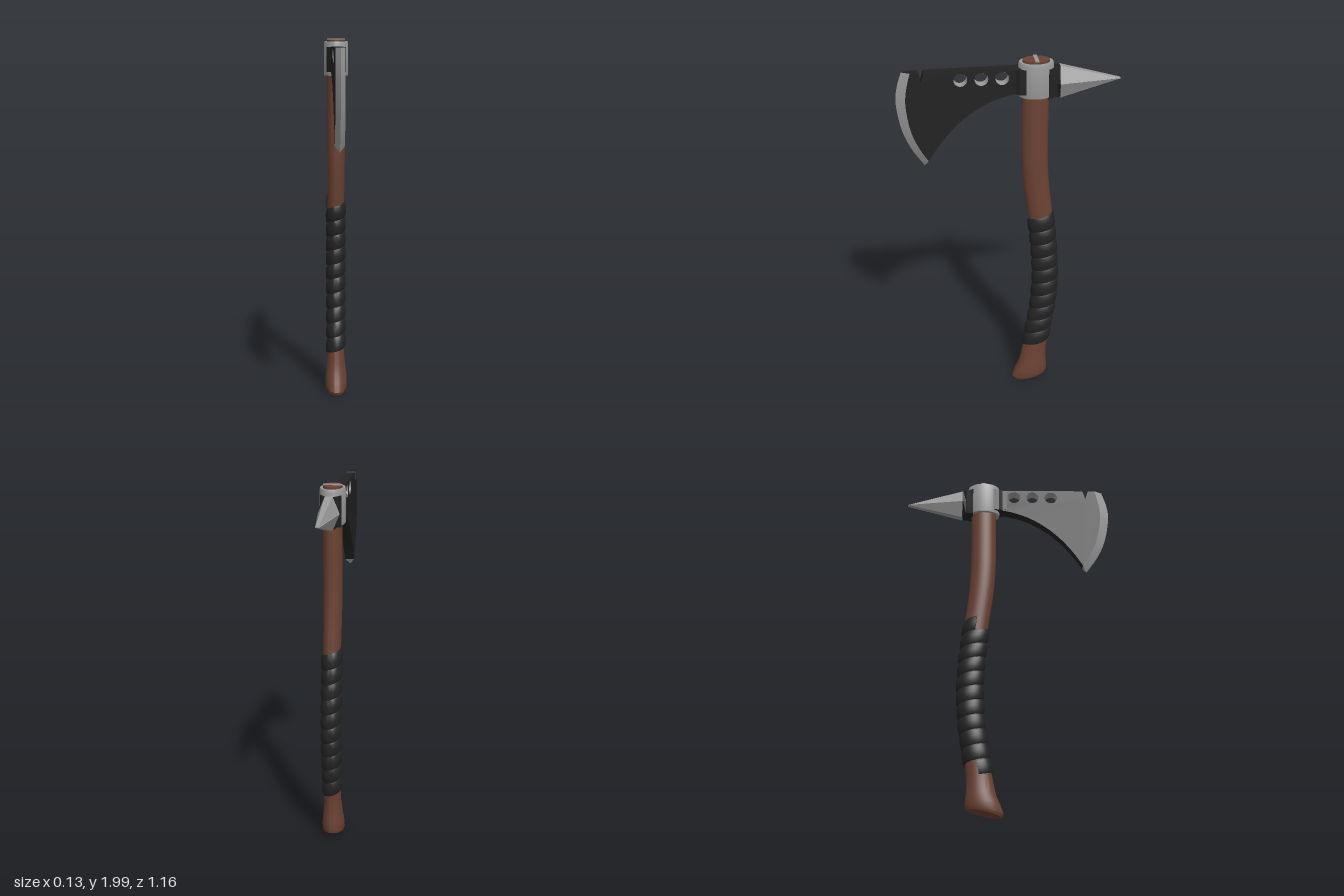
import * as THREE from 'three';
import { toCreasedNormals } from 'three/addons/utils/BufferGeometryUtils.js';

const mat = (name, color, side = THREE.FrontSide) => {
  const m = new THREE.MeshStandardMaterial({ color, side });
  m.name = name;
  return m;
};

// Closed, capped skin through rings of [x, y, z]; rings turn right-handed about their direction
function loft(rings, crease) {
  const n = rings[0].length, last = (rings.length - 1) * n, index = [];
  const pos = rings.flat(2);
  for (let i = 0; i < rings.length - 1; i++) {
    for (let j = 0; j < n; j++) {
      const a = i * n + j, b = i * n + (j + 1) % n;
      index.push(a, b, b + n, a, b + n, a + n);
    }
  }
  [rings[0], rings[rings.length - 1]].forEach((ring, end) => {
    const c = pos.length / 3, start = end ? last : 0;
    for (let k = 0; k < 3; k++) pos.push(ring.reduce((s, p) => s + p[k], 0) / n);
    for (let j = 0; j < n; j++) {
      const a = start + j, b = start + (j + 1) % n;
      index.push(c, end ? a : b, end ? b : a);
    }
  });
  const g = new THREE.BufferGeometry();
  g.setAttribute('position', new THREE.Float32BufferAttribute(pos, 3));
  g.setIndex(index);
  return toCreasedNormals(g, crease);
}

// Six-sided section across z: flat top and bottom, side corners at mid height
function hex(z, flat, wide, low, high) {
  const mid = (low + high) / 2;
  return [[wide, mid, z], [flat, high, z], [-flat, high, z],
    [-wide, mid, z], [-flat, low, z], [flat, low, z]];
}

// Handle stations: height, then centre z, half width x, half depth z, tilt
const stations = [
  [0.028, -0.122, 0.055, 0.095, -0.022], [0.045, -0.121, 0.061, 0.101, -0.022],
  [0.13, -0.137, 0.056, 0.08, -0.012], [0.21, -0.147, 0.048, 0.07, 0],
  [0.35, -0.168, 0.046, 0.066, 0], [0.5, -0.191, 0.046, 0.065, 0],
  [0.7, -0.204, 0.046, 0.065, 0], [0.9, -0.194, 0.046, 0.065, 0],
  [1.13, -0.169, 0.047, 0.067, 0], [1.3, -0.148, 0.049, 0.069, 0],
  [1.45, -0.139, 0.05, 0.07, 0], [1.6, -0.138, 0.05, 0.07, 0], [2, -0.14, 0.05, 0.07, 0],
];
const spline = new THREE.CubicInterpolant(
  stations.map((s) => s[0]), stations.flatMap((s) => s.slice(1)), 4, new Float32Array(4));

// Point on the handle surface, pushed outward by "out"
function onHandle(y, angle, out = 0) {
  const [zc, rx, rz, tilt] = spline.evaluate(y);
  const c = Math.cos(angle);
  return [(rx + out) * Math.sin(angle), y + tilt * c, zc + (rz + out) * c];
}

export function createModel() {
  const wood = mat('brown wood', 0x6b4233);
  const leather = mat('black leather', 0x242424);
  const black = mat('blackened steel', 0x222222);
  const steel = mat('bright steel', 0x999999);
  const lining = mat('hole steel', 0x9c9c9c, THREE.DoubleSide);
  const model = new THREE.Group();
  model.name = 'axe';
  const add = (name, geometry, material) => {
    const mesh = new THREE.Mesh(geometry, material);
    mesh.name = name;
    model.add(mesh);
    return mesh;
  };

  // Curved wooden handle with a slanted, flared foot
  const heights = [0.028, 0.036, 0.045];
  for (let i = 1; i <= 44; i++) heights.push(0.045 + (1.995 - 0.045) * i / 44);
  const handleRings = heights.map((y) =>
    Array.from({ length: 40 }, (_, j) => onHandle(y, j / 40 * Math.PI * 2)));
  add('handle', loft(handleRings, 0.5), wood);
  add('handleWedge', new THREE.BoxGeometry(0.098, 0.008, 0.02), steel).position.set(0, 1.996, -0.14);

  // Leather strip wound up the grip
  const pitch = 0.083, turns = 10, steps = 36;
  const strip = [[0, -0.004], [0.083, -0.004], [0.083, 0.001], [0.072, 0.007],
    [0.045, 0.0105], [0.012, 0.01], [0, 0.005]];
  const wrapRings = [];
  for (let i = 0; i <= turns * steps; i++) {
    const t = i / steps;
    wrapRings.push(strip.map(([dy, out]) =>
      onHandle(0.225 + t * pitch + dy, t * Math.PI * 2 - Math.PI / 2, out)));
  }
  add('gripWrap', loft(wrapRings, 0.6), leather);

  // Oval collar around the top of the handle
  const profile = [[0.74, 1.975], [0.74, 1.8], [0.97, 1.8], [1, 1.81], [1, 1.972],
    [0.95, 1.985], [0.78, 1.985], [0.74, 1.975]].map((p) => new THREE.Vector2(...p));
  const collar = new THREE.LatheGeometry(profile, 48).scale(0.067, 1, 0.092);
  add('collar', toCreasedNormals(collar, 0.4), steel).position.z = -0.14;

  // Blade plate, drawn in z and y, with a notch and three holes
  const curve = (pts) => new THREE.SplineCurve(pts.map((p) => new THREE.Vector2(...p)));
  const inner = curve([[0.504, 1.957], [0.525, 1.87], [0.532, 1.78],
    [0.513, 1.65], [0.475, 1.55], [0.424, 1.465]]).getPoints(24);
  const outer = curve([[0.547, 1.957], [0.573, 1.87], [0.58, 1.78],
    [0.556, 1.64], [0.51, 1.53], [0.445, 1.433]]).getPoints(24);
  const plate = new THREE.Shape();
  plate.moveTo(-0.1, 1.957);
  plate.lineTo(0.435, 1.957);
  plate.lineTo(0.45, 1.905);
  plate.lineTo(0.467, 1.957);
  inner.forEach((p) => plate.lineTo(p.x, p.y));
  plate.quadraticCurveTo(0.24, 1.785, -0.05, 1.825);
  plate.lineTo(-0.1, 1.825);
  const holes = [0.25, 0.143, 0.037];
  for (const z of holes) {
    const hole = new THREE.Path();
    hole.absarc(z, 1.91, 0.0355, 0, Math.PI * 2, true);
    plate.holes.push(hole);
  }
  const blade = new THREE.ExtrudeGeometry(plate, { depth: 2, bevelEnabled: false, curveSegments: 24 });
  blade.translate(0, 0, -1).rotateY(-Math.PI / 2);
  const halfThickness = (z) => 0.031 - 0.012 * Math.max(z, 0);
  const p = blade.attributes.position;
  for (let i = 0; i < p.count; i++) p.setX(i, p.getX(i) * halfThickness(p.getZ(i)));
  add('blade', toCreasedNormals(blade, 0.4), black);

  // Bright linings of the holes
  for (const z of holes) {
    const tube = new THREE.CylinderGeometry(0.035, 0.035, 2 * halfThickness(z) - 0.002, 32, 1, true);
    add('holeLining', tube.rotateZ(Math.PI / 2), lining).position.set(0, 1.91, z);
  }

  // Ground cutting edge with a dark upper end
  const edgeRings = inner.map((a, i) => {
    const h = halfThickness(a.x), b = outer[i];
    return [[h, a.y, a.x], [0, b.y, b.x], [-h, a.y, a.x]];
  });
  add('cuttingEdge', loft(edgeRings, 0.4), steel);
  const topRing = edgeRings[0].map(([x, y, z]) => [x, y + 0.002, z]);
  add('edgeEnd', loft([topRing, edgeRings[0]], 0.1), black);

  // Dark shoulders that grip the collar in front and behind
  add('frontShoulder', loft([hex(-0.1, 0.055, 0.055, 1.82, 1.955), hex(-0.05, 0.048, 0.048, 1.82, 1.955),
    hex(-0.03, 0.035, 0.035, 1.825, 1.955), hex(0, 0.03, 0.03, 1.83, 1.955)], 0.3), black);
  add('rearShoulder', loft([hex(-0.264, 0.022, 0.054, 1.787, 1.958), hex(-0.258, 0.022, 0.054, 1.787, 1.958),
    hex(-0.24, 0.04, 0.045, 1.8, 1.95), hex(-0.2, 0.055, 0.055, 1.79, 1.955)], 0.3), black);

  // Six-sided spike at the back
  add('spike', loft([hex(-0.58, 0.006, 0.011, 1.87, 1.876),
    hex(-0.262, 0.02, 0.056, 1.785, 1.96)], 0.1), steel);

  return model;
}
